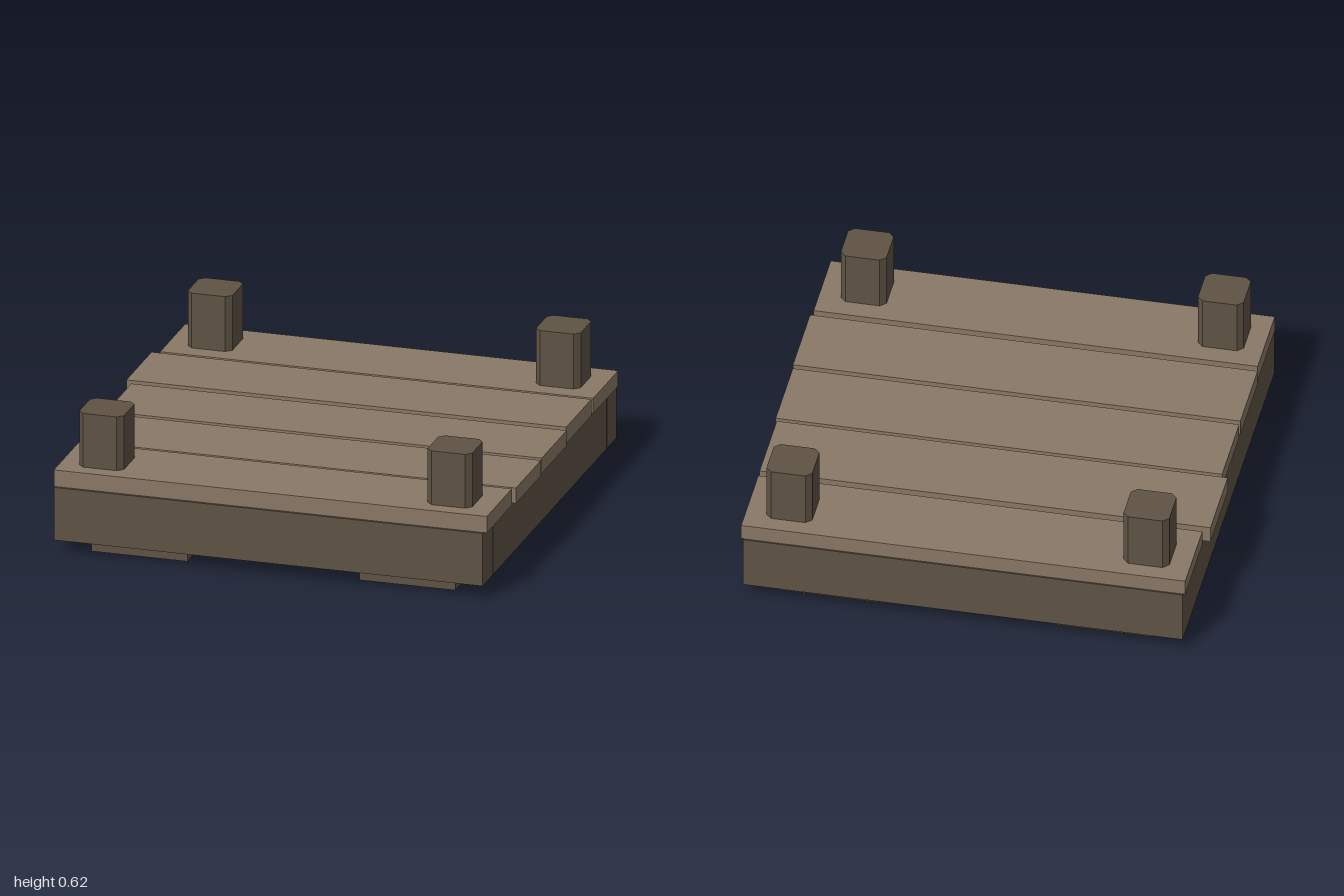
import * as THREE from 'three';

const plankWood = new THREE.MeshStandardMaterial({ color: 0x8a7866 });
plankWood.name = 'plank wood';
const darkWood = new THREE.MeshStandardMaterial({ color: 0x5f5344 });
darkWood.name = 'dark wood';

// Box given by its lower and upper limits on each axis
function box(name, material, [x0, x1], [y0, y1], [z0, z1]) {
  const mesh = new THREE.Mesh(new THREE.BoxGeometry(x1 - x0, y1 - y0, z1 - z0), material);
  mesh.position.set((x0 + x1) / 2, (y0 + y1) / 2, (z0 + z1) / 2);
  mesh.name = name;
  return mesh;
}

// Square post with chamfered vertical corners
function postGeometry(half, chamfer, height) {
  const a = half, b = half - chamfer;
  const outline = [[a, -b], [a, b], [b, a], [-b, a], [-a, b], [-a, -b], [-b, -a], [b, -a]];
  const shape = new THREE.Shape(outline.map(([x, y]) => new THREE.Vector2(x, y)));
  return new THREE.ExtrudeGeometry(shape, { depth: height, bevelEnabled: false }).rotateX(-Math.PI / 2);
}

export function createModel() {
  const model = new THREE.Group();
  model.name = 'raft platform';

  // Deck planks of slightly uneven length: x from, x to, z from, z to, top
  const planks = [
    [-0.97, 0.97, -0.955, -0.595, 0.37],
    [-1.0, 0.97, -0.568, -0.207, 0.375],
    [-0.97, 0.98, -0.182, 0.178, 0.37],
    [-0.97, 0.985, 0.203, 0.564, 0.37],
    [-0.965, 0.975, 0.59, 0.95, 0.375],
  ];
  const deck = new THREE.Group();
  deck.name = 'deck';
  planks.forEach(([x0, x1, z0, z1, top], i) =>
    deck.add(box(`plank${i + 1}`, plankWood, [x0, x1], [0.3, top], [z0, z1])));
  model.add(deck);

  // Frame beams, runners and corner posts
  const post = postGeometry(0.1, 0.025, 0.4);
  for (const s of [-1, 1]) {
    const side = s > 0 ? 'left' : 'right';
    const end = s > 0 ? 'front' : 'back';
    const span = (a, b) => (s > 0 ? [a, b] : [-b, -a]);
    model.add(box(`${end}Beam`, darkWood, [-0.96, 0.96], [0.06, 0.3], span(0.822, 0.962)));
    model.add(box(`${side}Beam`, darkWood, span(0.82, 0.96), [0.06, 0.3], [-0.816, 0.816]));
    model.add(box(`${side}Runner`, darkWood, span(0.385, 0.815), [0, 0.28], [-0.89, 0.89]));
    for (const t of [-1, 1]) {
      const mesh = new THREE.Mesh(post, darkWood);
      mesh.name = `${side}${t > 0 ? 'Front' : 'Back'}Post`;
      mesh.position.set(s * 0.78, 0.22, t * 0.78);
      model.add(mesh);
    }
  }
  return model;
}
